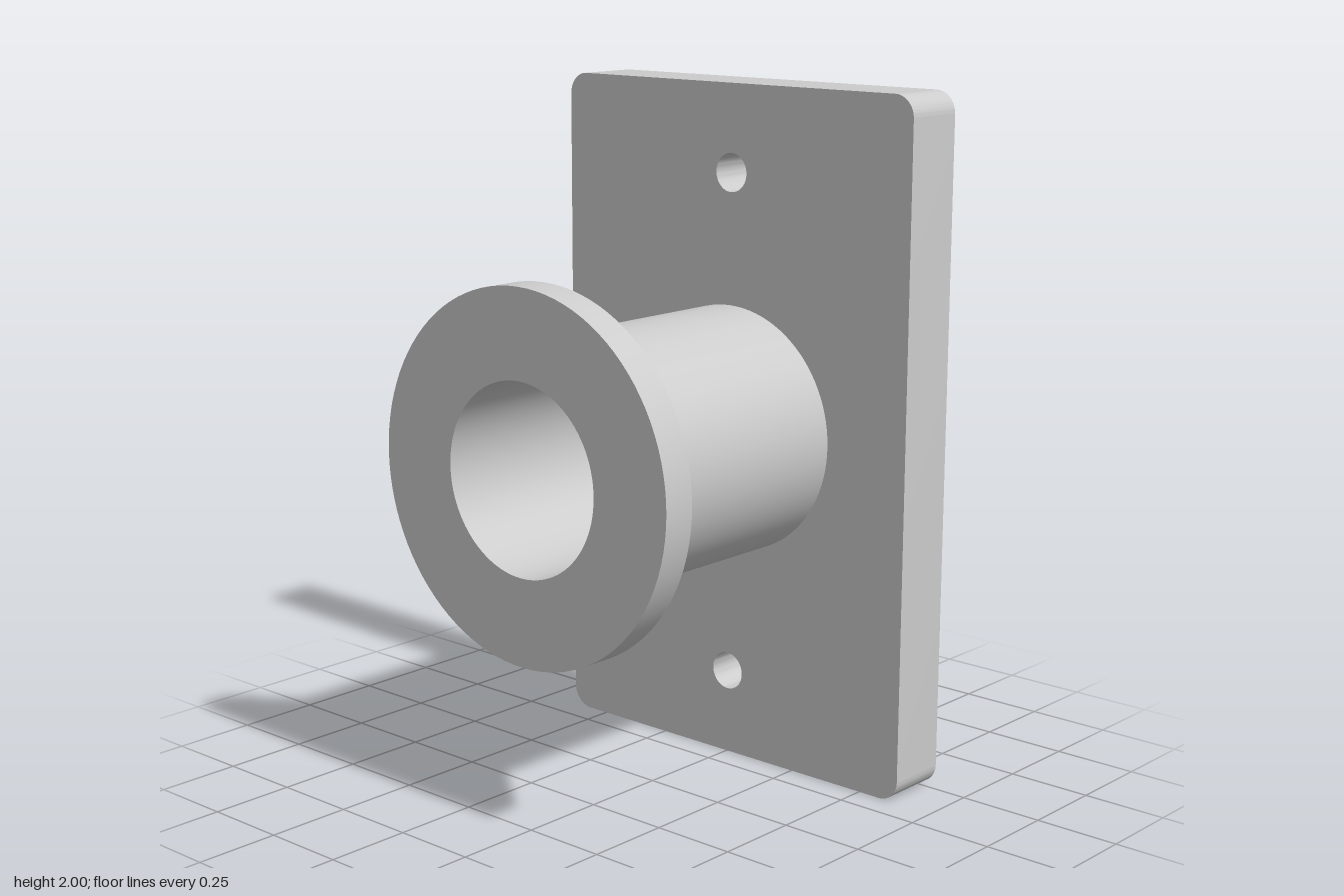
import * as THREE from 'three';
import { toCreasedNormals } from 'three/addons/utils/BufferGeometryUtils.js';

const BACK = -0.525, PLATE_FRONT = -0.335, FRONT = 0.525;
const CENTRE_Y = 1;

// Upright rectangle with rounded corners, centred on the origin
function roundedRect(w, h, r) {
  const x = w / 2 - r, y = h / 2 - r;
  const shape = new THREE.Shape();
  shape.absarc(x, y, r, 0, Math.PI / 2);
  shape.absarc(-x, y, r, Math.PI / 2, Math.PI);
  shape.absarc(-x, -y, r, Math.PI, Math.PI * 1.5);
  shape.absarc(x, -y, r, Math.PI * 1.5, Math.PI * 2);
  shape.closePath();
  return shape;
}

export function createModel() {
  const group = new THREE.Group();
  const material = new THREE.MeshStandardMaterial({ color: 0xcccccc });

  const add = (name, geometry) => {
    const mesh = new THREE.Mesh(toCreasedNormals(geometry, 0.5), material);
    mesh.name = name;
    mesh.position.y = CENTRE_Y;
    group.add(mesh);
  };

  // Mounting plate with two screw holes
  const plate = roundedRect(1.265, 2, 0.063);
  for (const y of [-0.746, 0.746]) {
    plate.holes.push(new THREE.Path().absarc(0, y, 0.056, 0, Math.PI * 2, true));
  }
  const plateGeometry = new THREE.ExtrudeGeometry(plate, {
    depth: PLATE_FRONT - BACK, bevelEnabled: false, curveSegments: 24,
  });
  plateGeometry.translate(0, 0, BACK);
  add('mountingPlate', plateGeometry);

  // Hollow neck flaring to a rim; the plate closes the bore
  const profile = [
    [0.363, PLATE_FRONT], [0.363, 0.268], [0.522, 0.427],
    [0.522, FRONT], [0.27, FRONT], [0.27, PLATE_FRONT],
  ].map(([r, z]) => new THREE.Vector2(r, z));
  add('flangedNeck', new THREE.LatheGeometry(profile, 96).rotateX(Math.PI / 2));

  return group;
}
